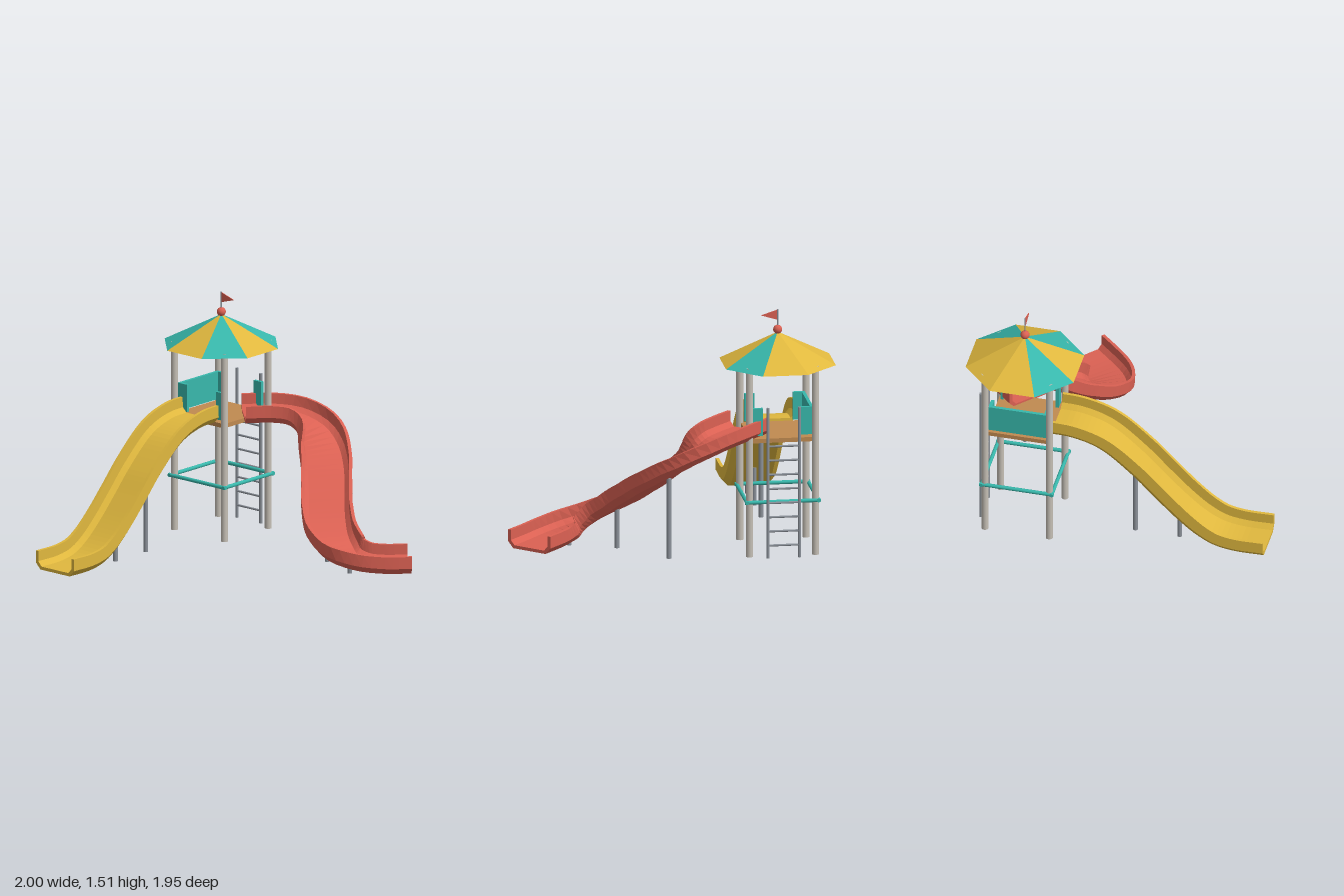
import * as THREE from 'three';

const mat = (name, color) => Object.assign(new THREE.MeshStandardMaterial({ color }), { name });

const CX = -0.66, CZ = -0.568; // tower centre

// Faceted normals
function flat(geo) {
  const g = geo.index ? geo.toNonIndexed() : geo;
  g.computeVertexNormals();
  return g;
}

// Trough cross-section (across, up): outer side left to right, then inner side back
const SECTION = [
  [-0.157, 0.115], [-0.157, 0.04], [-0.12, 0], [0.12, 0], [0.157, 0.04], [0.157, 0.115],
  [0.137, 0.115], [0.137, 0.05], [0.11, 0.02], [-0.11, 0.02], [-0.137, 0.05], [-0.137, 0.115],
];

// Sweep the trough along a path, keeping it level from side to side
function slideGeometry(points, segments) {
  const curve = new THREE.CatmullRomCurve3(points);
  const n = SECTION.length, pos = [], index = [];
  const worldUp = new THREE.Vector3(0, 1, 0);
  for (let s = 0; s <= segments; s++) {
    const p = curve.getPointAt(s / segments);
    const t = curve.getTangentAt(s / segments);
    const side = new THREE.Vector3().crossVectors(worldUp, t).normalize();
    const up = new THREE.Vector3().crossVectors(t, side);
    for (const [u, v] of SECTION) {
      const q = p.clone().addScaledVector(side, u).addScaledVector(up, v);
      pos.push(q.x, q.y, q.z);
    }
    if (s === segments) break;
    for (let i = 0; i < n; i++) {
      const j = (i + 1) % n, a = s * n, b = a + n;
      index.push(a + i, a + j, b + j, a + i, b + j, b + i);
    }
  }
  // End caps pair the outer side with the inner side
  const e = segments * n;
  for (let i = 0; i < 5; i++) {
    const q = [i, i + 1, 10 - i, 11 - i];
    index.push(e + q[0], e + q[1], e + q[2], e + q[0], e + q[2], e + q[3]);
    index.push(q[0], q[2], q[1], q[0], q[3], q[2]);
  }
  const g = new THREE.BufferGeometry();
  g.setAttribute('position', new THREE.Float32BufferAttribute(pos, 3));
  g.setIndex(index);
  return flat(g);
}

export function createModel() {
  const yellow = mat('yellow', 0xe0b83e);
  const teal = mat('teal', 0x38b8ac);
  const red = mat('red', 0xdb6153);
  const post = mat('postGrey', 0xc6c0b6);
  const steel = mat('steel', 0x8c929a);
  const wood = mat('deckWood', 0xc08a50);

  const model = new THREE.Group();
  model.name = 'playgroundTower';
  const add = (parent, name, geo, material, x = 0, y = 0, z = 0) => {
    const m = new THREE.Mesh(geo, material);
    m.name = name;
    m.position.set(x, y, z);
    parent.add(m);
    return m;
  };
  // Upright round bar from y0 to y1
  const upright = (parent, name, r, y0, y1, x, z, material) =>
    add(parent, name, new THREE.CylinderGeometry(r, r, y1 - y0, 12), material, x, (y0 + y1) / 2, z);

  // Tower, built around its own axis
  const tower = new THREE.Group();
  tower.name = 'tower';
  tower.position.set(CX, 0, CZ);
  model.add(tower);
  for (const sx of [-1, 1]) for (const sz of [-1, 1]) {
    upright(tower, 'cornerPost', 0.022, 0, 1.2, sx * 0.205, sz * 0.203, post);
  }
  add(tower, 'deck', new THREE.BoxGeometry(0.4, 0.027, 0.4), wood, 0, 0.732, 0);

  // Brace ring outside the posts
  for (let k = 0; k < 4; k++) {
    const a = (k * Math.PI) / 2;
    const bar = add(tower, 'braceBar', new THREE.CylinderGeometry(0.012, 0.012, 0.468, 10), teal,
      Math.sin(a) * 0.222, 0.348, Math.cos(a) * 0.222);
    bar.rotation.set(k % 2 ? Math.PI / 2 : 0, 0, k % 2 ? 0 : Math.PI / 2);
  }

  // Guard panels: one full side, narrow ones beside the openings
  add(tower, 'sidePanel', new THREE.BoxGeometry(0.02, 0.175, 0.365), teal, -0.185, 0.847, 0);
  for (const sx of [-1, 1]) for (const sz of [-1, 1]) {
    add(tower, 'narrowPanel', new THREE.BoxGeometry(0.062, 0.175, 0.02), teal, sx * 0.15, 0.847, sz * 0.175);
  }

  // Eight-sided roof
  const R = 0.341 / Math.cos(Math.PI / 8), step = Math.PI / 4;
  for (let k = 0; k < 8; k++) {
    const wedge = new THREE.ConeGeometry(R, 0.19, 1, 1, true, (k - 0.5) * step, step);
    add(tower, 'roofPanel', flat(wedge), [1, 3, 7].includes(k) ? teal : yellow, 0, 1.275, 0);
  }
  const ceiling = add(tower, 'roofUnderside', new THREE.CircleGeometry(R, 8, step / 2), yellow, 0, 1.18, 0);
  ceiling.rotation.x = Math.PI / 2;

  // Finial, flagpole and pennant
  add(tower, 'finial', new THREE.SphereGeometry(0.028, 16, 12), red, 0, 1.385, 0);
  upright(tower, 'flagPole', 0.004, 1.38, 1.512, 0, 0, steel);
  const pennant = new THREE.Shape([[0, 1.445], [0.103, 1.477], [0, 1.51]].map((p) => new THREE.Vector2(...p)));
  add(tower, 'flag', new THREE.ExtrudeGeometry(pennant, { depth: 0.005, bevelEnabled: false }), red, 0, 0, -0.0025);

  // Ladder at the back
  const ladder = new THREE.Group();
  ladder.name = 'ladder';
  ladder.position.z = -0.255;
  tower.add(ladder);
  for (const s of [-1, 1]) upright(ladder, 'ladderRail', 0.01, 0, 0.955, s * 0.098, 0, steel);
  for (let i = 0; i < 8; i++) {
    const rung = add(ladder, 'rung', new THREE.CylinderGeometry(0.007, 0.007, 0.196, 8), steel, 0, 0.08 + i * 0.09, 0);
    rung.rotation.z = Math.PI / 2;
  }

  // Straight slide towards the front: [z, y] of the underside
  const straight = [
    [-0.37, 0.742], [-0.24, 0.735], [-0.07, 0.68], [0.135, 0.515], [0.28, 0.365],
    [0.42, 0.225], [0.54, 0.125], [0.65, 0.065], [0.78, 0.04], [0.97, 0.04],
  ].map(([z, y]) => new THREE.Vector3(CX, y, z));
  add(model, 'straightSlide', slideGeometry(straight, 48), yellow);
  for (const [z, top] of [[0.69, 0.06], [0.41, 0.24], [0.13, 0.525]]) {
    upright(model, 'straightSlideSupport', 0.015, 0, top, CX, z, steel);
  }

  // Winding slide: one full sine wave in plan, [x, y] of the underside
  const waveZ = (x) => -0.573 - 0.243 * Math.sin((2 * Math.PI * (x + 0.48)) / 1.363);
  const winding = [
    [-0.48, 0.738], [-0.36, 0.738], [-0.25, 0.72], [-0.15, 0.67], [-0.05, 0.585], [0.07, 0.48],
    [0.19, 0.365], [0.31, 0.25], [0.43, 0.16], [0.55, 0.09], [0.67, 0.052], [0.78, 0.036], [0.883, 0.035],
  ].map(([x, y]) => new THREE.Vector3(x, y, waveZ(x)));
  add(model, 'windingSlide', slideGeometry(winding, 48), red);
  for (const [x, top] of [[0.04, 0.51], [0.32, 0.25], [0.6, 0.08]]) {
    upright(model, 'windingSlideSupport', 0.015, 0, top, x, waveZ(x), steel);
  }

  return model;
}
